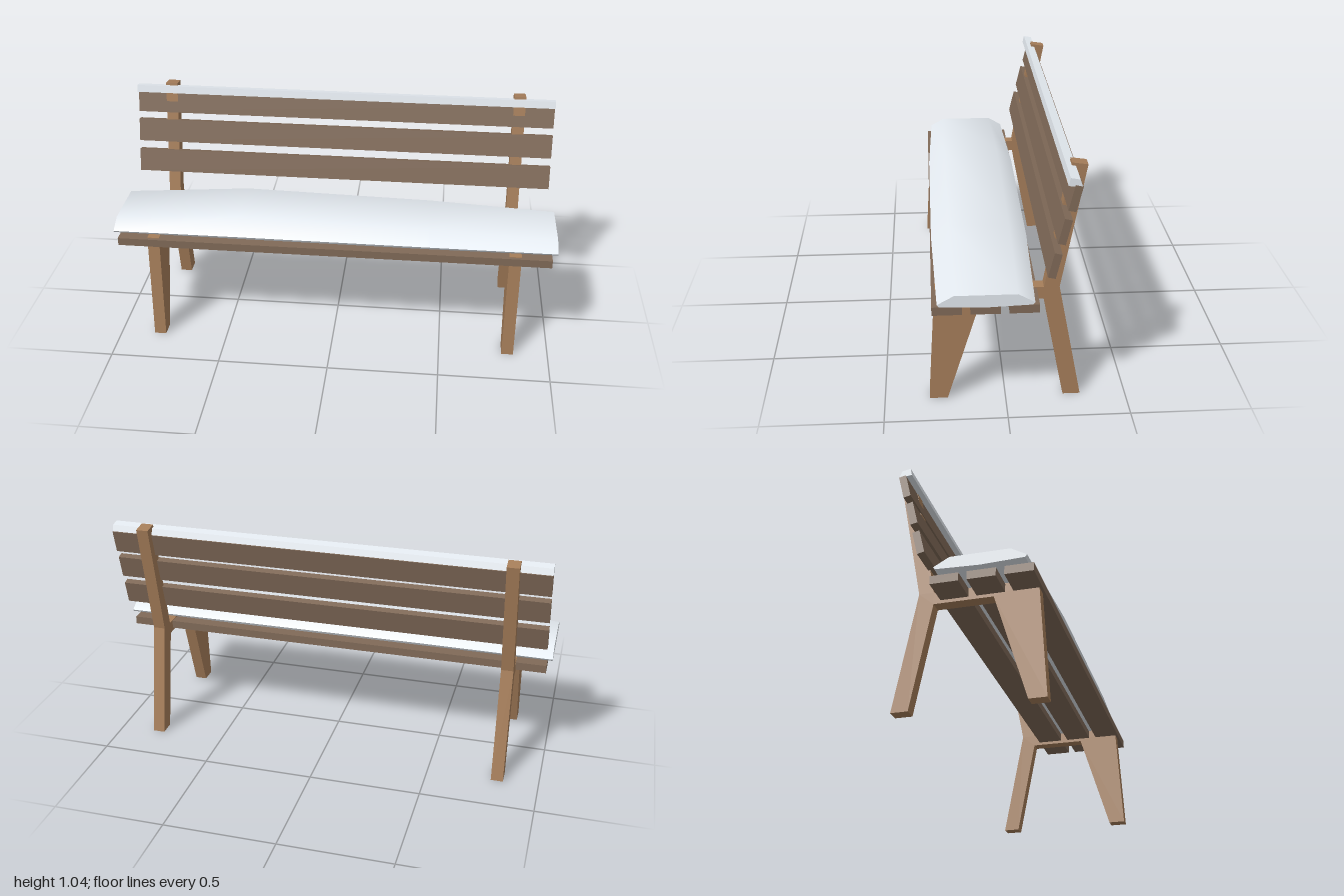
import * as THREE from 'three';
import { toCreasedNormals } from 'three/addons/utils/BufferGeometryUtils.js';

const frameWood = new THREE.MeshStandardMaterial({ color: 0xa67e5a });
const slatWood = new THREE.MeshStandardMaterial({ color: 0x806a58 });
const snow = new THREE.MeshStandardMaterial({ color: 0xe4eaf0 });
const LENGTH = 1.954;

// Extrudes a (z, y) outline along x, centred on x = 0
function sideExtrude(points, width) {
  const shape = new THREE.Shape(points.map(([z, y]) => new THREE.Vector2(z, y)));
  const geo = new THREE.ExtrudeGeometry(shape, { depth: width, bevelEnabled: false });
  return geo.translate(0, 0, -width / 2).rotateY(-Math.PI / 2);
}

function addMesh(parent, name, geometry, material) {
  const mesh = new THREE.Mesh(geometry, material);
  mesh.name = name;
  parent.add(mesh);
  return mesh;
}

// Snow blanket lofted through cross-sections along x, closed at both ends
function snowBlanket() {
  const midZ = 0.088;
  // x, top height, half width of top, half width, edge height, lower edge height
  const sections = [
    [-1, 0.568, 0.124, 0.19, 0.531, 0.521],
    [-0.43, 0.609, 0.132, 0.207, 0.543, 0.53],
    [0.43, 0.593, 0.13, 0.206, 0.541, 0.528],
    [1, 0.568, 0.124, 0.19, 0.531, 0.521],
  ];
  const pos = [], index = [], n = 7;
  for (const [x, top, topW, w, edge, low] of sections) {
    const ring = [
      [w - 0.008, low], [w, edge], [topW, top],
      [-topW, top], [-w, edge], [-w + 0.008, low], [0, 0.514],
    ];
    for (const [z, y] of ring) pos.push(x, y, midZ + z);
  }
  for (let i = 0; i < sections.length - 1; i++) {
    for (let j = 0; j < n; j++) {
      const a = i * n + j, b = i * n + (j + 1) % n;
      index.push(a, a + n, b + n, a, b + n, b);
    }
  }
  const end = (sections.length - 1) * n;
  for (let j = 0; j < n - 2; j++) {
    index.push(n - 1, j, j + 1, end + n - 1, end + j + 1, end + j);
  }
  const geo = new THREE.BufferGeometry();
  geo.setAttribute('position', new THREE.Float32BufferAttribute(pos, 3));
  geo.setIndex(index);
  return toCreasedNormals(geo, 0.85);
}

export function createModel() {
  const bench = new THREE.Group();
  bench.name = 'snowyBench';

  // Side frames: front leg, seat rail, back leg and back post in one piece
  const frame = sideExtrude([
    [0.315, 0], [0.285, 0.51], [-0.152, 0.51], [-0.25, 1.043], [-0.312, 1.034],
    [-0.215, 0.51], [-0.312, 0], [-0.24, 0], [-0.152, 0.457], [0.1, 0.457], [0.24, 0],
  ], 0.054);
  for (const side of [-1, 1]) {
    addMesh(bench, side > 0 ? 'leftFrame' : 'rightFrame', frame, frameWood).position.x = side * 0.816;
  }

  // Seat slats
  const seatSlat = new THREE.BoxGeometry(LENGTH, 0.036, 0.118);
  [0.24, 0.088, -0.064].forEach((z, i) => {
    addMesh(bench, `seatSlat${i + 1}`, seatSlat, slatWood).position.set(0, 0.489, z);
  });

  // Back slats, leaning backwards
  const backSlat = new THREE.BoxGeometry(LENGTH, 0.106, 0.031);
  [[0.672, -0.178], [0.815, -0.213], [0.952, -0.249]].forEach(([y, z], i) => {
    const slat = addMesh(bench, `backSlat${i + 1}`, backSlat, slatWood);
    slat.position.set(0, y, z);
    slat.rotation.x = -0.235;
  });

  // Snow on the seat and along the top of the back
  addMesh(bench, 'seatSnow', snowBlanket(), snow);
  addMesh(bench, 'backSnow', sideExtrude(
    [[-0.22, 1.004], [-0.227, 1.036], [-0.264, 1.029], [-0.273, 1.001], [-0.25, 1.001]], LENGTH), snow);

  return bench;
}
